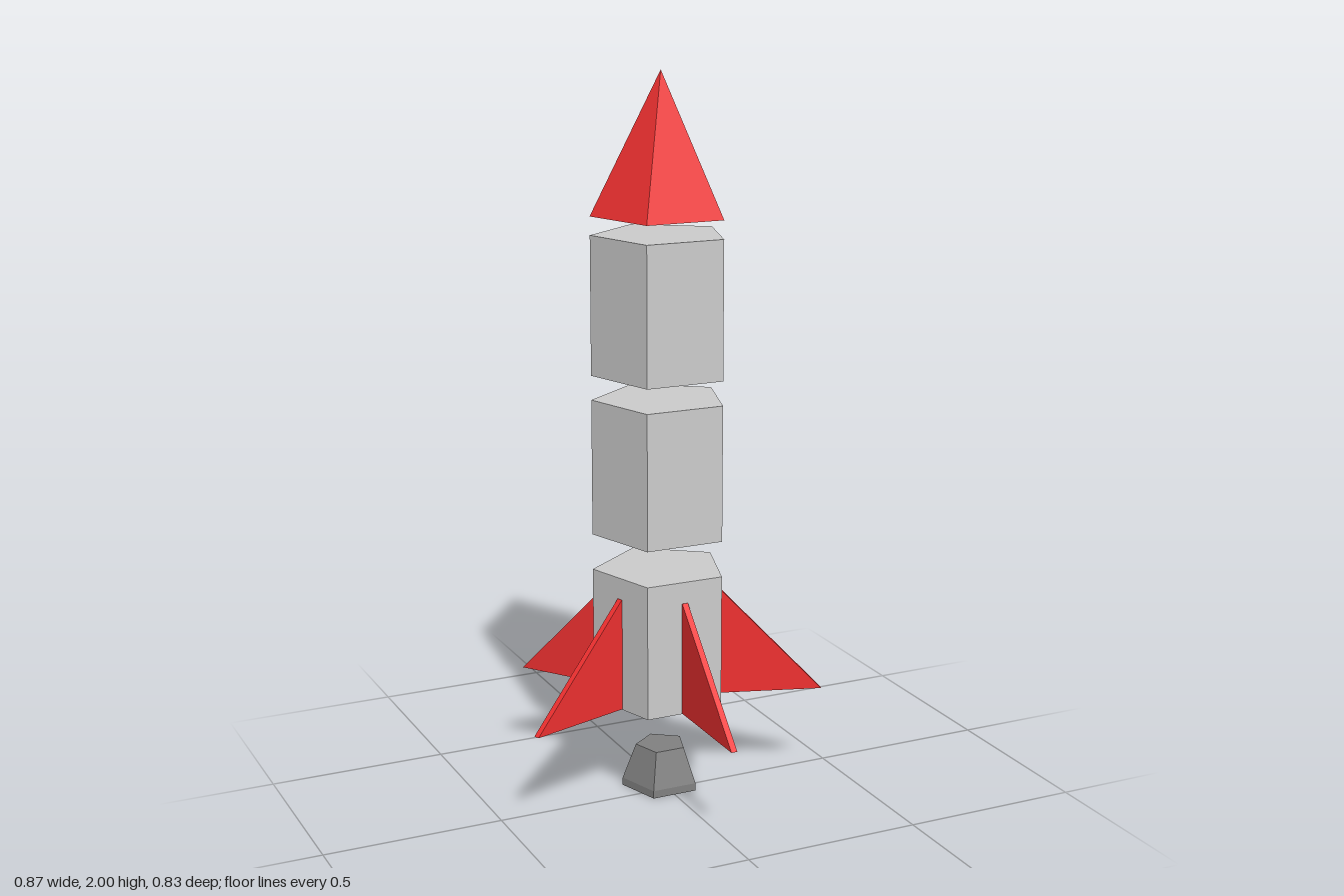
import * as THREE from 'three';

const SIDES = 5;
const grey = new THREE.MeshStandardMaterial({ color: 0xcccccc, flatShading: true });
const red = new THREE.MeshStandardMaterial({ color: 0xee3030, flatShading: true });
const darkGrey = new THREE.MeshStandardMaterial({ color: 0x808080, flatShading: true });

// Five-sided prism, frustum or pyramid between two heights, one corner pointing back
function pentagon(name, rTop, rBottom, y0, y1, material) {
  const geo = new THREE.CylinderGeometry(rTop, rBottom, y1 - y0, SIDES, 1, false, Math.PI);
  const mesh = new THREE.Mesh(geo, material);
  mesh.name = name;
  mesh.position.y = (y0 + y1) / 2;
  return mesh;
}

export function createModel() {
  const rocket = new THREE.Group();
  rocket.name = 'rocket';
  const stack = new THREE.Group();
  stack.name = 'stages';
  stack.position.z = -0.042; // the central axis sits slightly behind the origin
  rocket.add(stack);

  // Nose cone and three separated body stages
  const R = 0.189;
  stack.add(
    pentagon('noseCone', 0, R, 1.62, 2, red),
    pentagon('upperStage', R, R, 1.19, 1.57, grey),
    pentagon('middleStage', R, R, 0.745, 1.123, grey),
    pentagon('lowerStage', R, R, 0.266, 0.645, grey)
  );

  // Engine nozzle: flared bell above a short straight rim
  const nozzle = new THREE.Group();
  nozzle.name = 'nozzle';
  nozzle.add(
    pentagon('nozzleBell', 0.072, 0.11, 0.022, 0.122, darkGrey),
    pentagon('nozzleRim', 0.11, 0.11, 0, 0.022, darkGrey)
  );
  stack.add(nozzle);

  // Triangular fins, one in the middle of each face of the lower stage
  const thickness = 0.017;
  const outline = new THREE.Shape([
    new THREE.Vector2(0.145, 0.268),
    new THREE.Vector2(0.454, 0.268),
    new THREE.Vector2(0.154, 0.585),
    new THREE.Vector2(0.145, 0.585)
  ]);
  const finGeo = new THREE.ExtrudeGeometry(outline, { depth: thickness, bevelEnabled: false });
  finGeo.translate(0, 0, -thickness / 2);
  for (let i = 0; i < SIDES; i++) {
    const fin = new THREE.Mesh(finGeo, red);
    fin.name = `fin${i + 1}`;
    fin.rotation.y = -Math.PI / 2 + (i * 2 * Math.PI) / SIDES;
    stack.add(fin);
  }

  return rocket;
}
